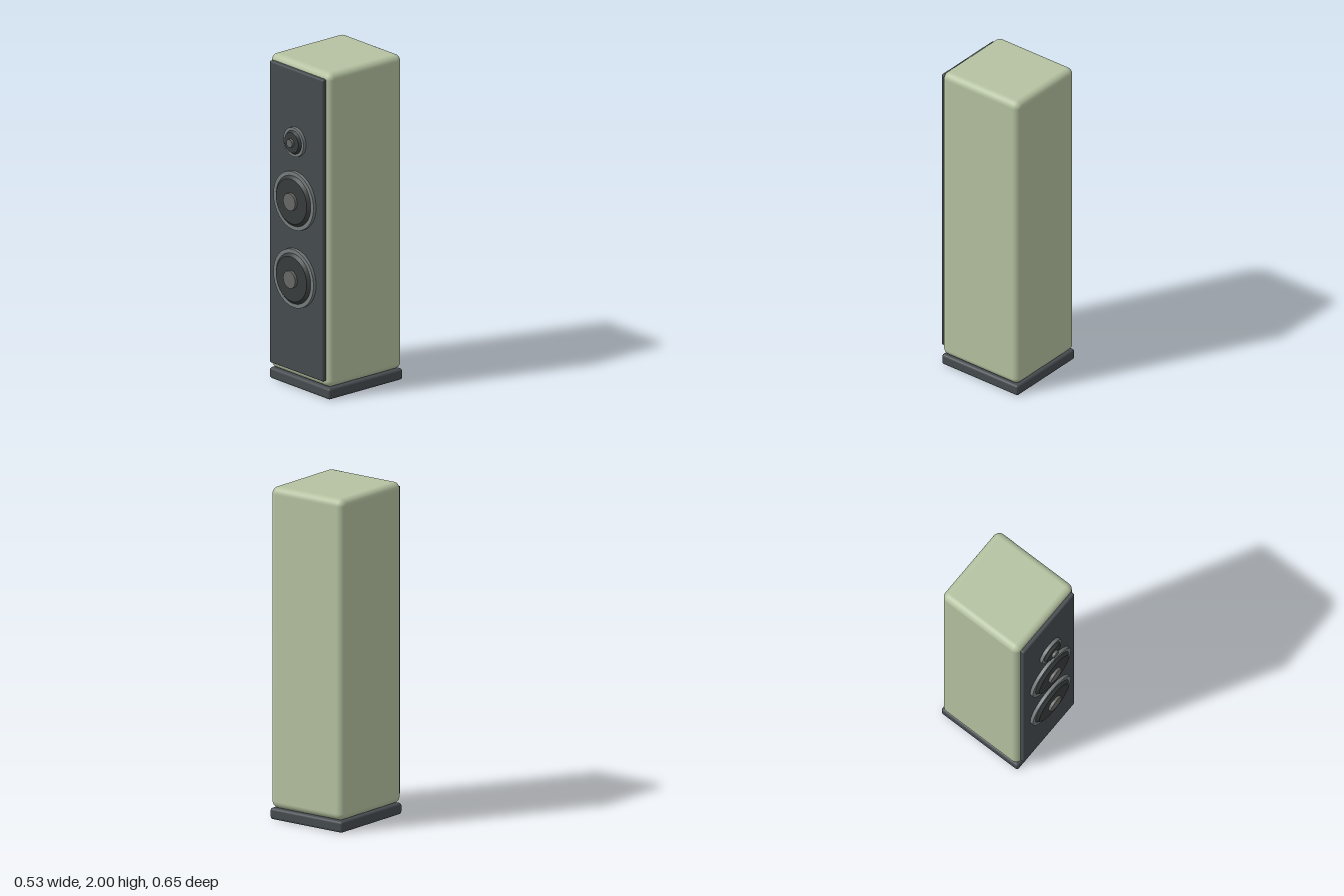
import * as THREE from 'three';
import { RoundedBoxGeometry } from 'three/addons/geometries/RoundedBoxGeometry.js';

const paint = (color) => new THREE.MeshStandardMaterial({ color });

export function createModel() {
  const model = new THREE.Group();
  model.name = 'floorSpeaker';

  const green = paint(0xb5c2a1);
  const dark = paint(0x454b4f);
  const ringGrey = paint(0x747a7b);
  const coneDark = paint(0x383c3d);
  const capGrey = paint(0x676965);

  // Rounded box given by its extents
  function box(name, [x, y0, y1, z0, z1], radius, material) {
    const geometry = new RoundedBoxGeometry(2 * x, y1 - y0, z1 - z0, 5, radius);
    const mesh = new THREE.Mesh(geometry, material);
    mesh.name = name;
    mesh.position.set(0, (y0 + y1) / 2, (z0 + z1) / 2);
    model.add(mesh);
  }

  box('base', [0.267, 0, 0.068, -0.324, 0.246], 0.016, dark);
  box('cabinet', [0.267, 0.068, 2, -0.324, 0.246], 0.042, green);
  box('frontPanel', [0.237, 0.11, 1.965, 0.22, 0.27], 0.01, dark);

  // Disc facing forward, from z0 (radius back) to z1 (radius front)
  function disc(name, back, front, z0, z1, material) {
    const geometry = new THREE.CylinderGeometry(front, back, z1 - z0, 48).rotateX(Math.PI / 2);
    const mesh = new THREE.Mesh(geometry, material);
    mesh.name = name;
    mesh.position.z = (z0 + z1) / 2;
    return mesh;
  }

  // Drivers: mounting ring, raised cone and centre cap
  function driver(name, y, ring, coneBack, coneFront, cap) {
    const group = new THREE.Group();
    group.name = name;
    group.position.y = y;
    group.add(
      disc('ring', ring, ring, 0.26, 0.29, ringGrey),
      disc('cone', coneBack, coneFront, 0.288, 0.306, coneDark),
      disc('cap', cap, cap, 0.3, 0.323, capGrey)
    );
    model.add(group);
  }

  driver('tweeter', 1.528, 0.089, 0.073, 0.062, 0.025);
  driver('upperWoofer', 1.167, 0.178, 0.156, 0.136, 0.053);
  driver('lowerWoofer', 0.69, 0.178, 0.156, 0.136, 0.053);

  return model;
}
